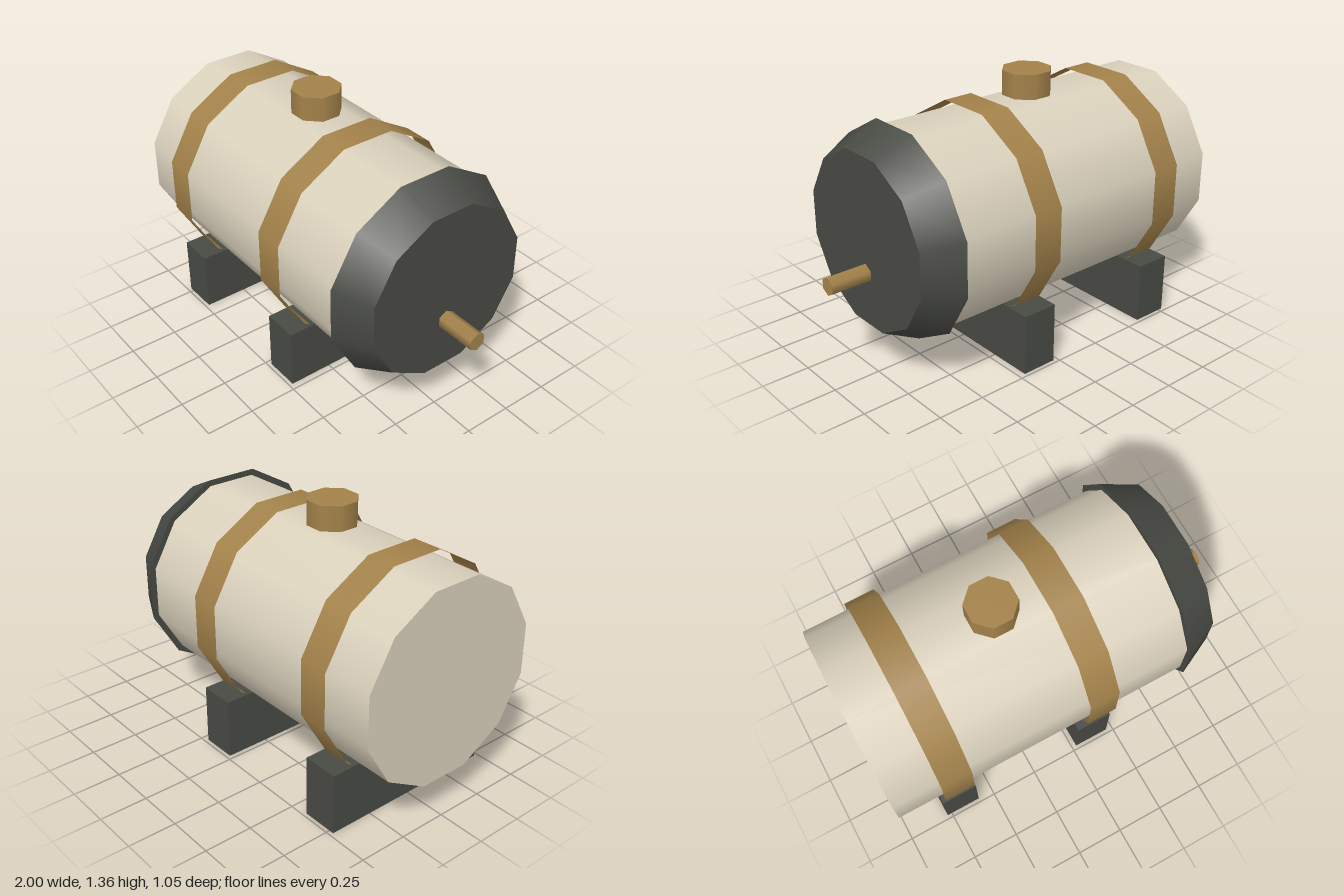
import * as THREE from 'three';

const AXIS_Y = 0.721; // height of the barrel axis

export function createModel() {
  const group = new THREE.Group();
  const cream = new THREE.MeshStandardMaterial({ color: 0xdbd2bd });
  const brass = new THREE.MeshStandardMaterial({ color: 0xa3824a });
  const brassThin = new THREE.MeshStandardMaterial({ color: 0xa3824a, side: THREE.DoubleSide });
  const dark = new THREE.MeshStandardMaterial({ color: 0x484a44 });

  function add(name, geometry, material, x, y, z = 0) {
    const mesh = new THREE.Mesh(geometry, material);
    mesh.name = name;
    mesh.position.set(x, y, z);
    group.add(mesh);
    return mesh;
  }

  // Polygonal cylinder lying along x, from x0 (radius r0) to x1 (radius r1)
  function lying(name, material, x0, x1, r0, r1, y, sides, turn, open = false) {
    const geometry = new THREE.CylinderGeometry(r1, r0, x1 - x0, sides, 1, open);
    geometry.rotateY(turn).rotateZ(-Math.PI / 2);
    return add(name, geometry, material, (x0 + x1) / 2, y);
  }

  // Twelve-sided tank with a flat side on top, and its tapered end cap
  const flatTop = Math.PI / 12;
  lying('barrel', cream, -1, 0.6, 0.511, 0.511, AXIS_Y, 12, flatTop);
  lying('endCap', dark, 0.6, 0.79, 0.544, 0.449, AXIS_Y, 12, flatTop);

  // Hexagonal outlet pipe in the end cap
  lying('spigot', brass, 0.78, 1, 0.047, 0.047, 0.5625, 6, Math.PI / 6);

  // Open hoop and support block at each station
  [['left', 0.12], ['right', -0.68]].forEach(([side, x]) => {
    lying(side + 'Band', brassThin, x - 0.08, x + 0.08, 0.544, 0.544, AXIS_Y, 12, flatTop, true);
    add(side + 'Foot', new THREE.BoxGeometry(0.19, 0.32, 0.96), dark, x, 0.16);
  });

  // Octagonal filler cap
  const filler = new THREE.CylinderGeometry(0.127, 0.127, 0.126, 8).rotateY(Math.PI / 8);
  add('fillerCap', filler, brass, -0.2, 1.298);

  return group;
}
